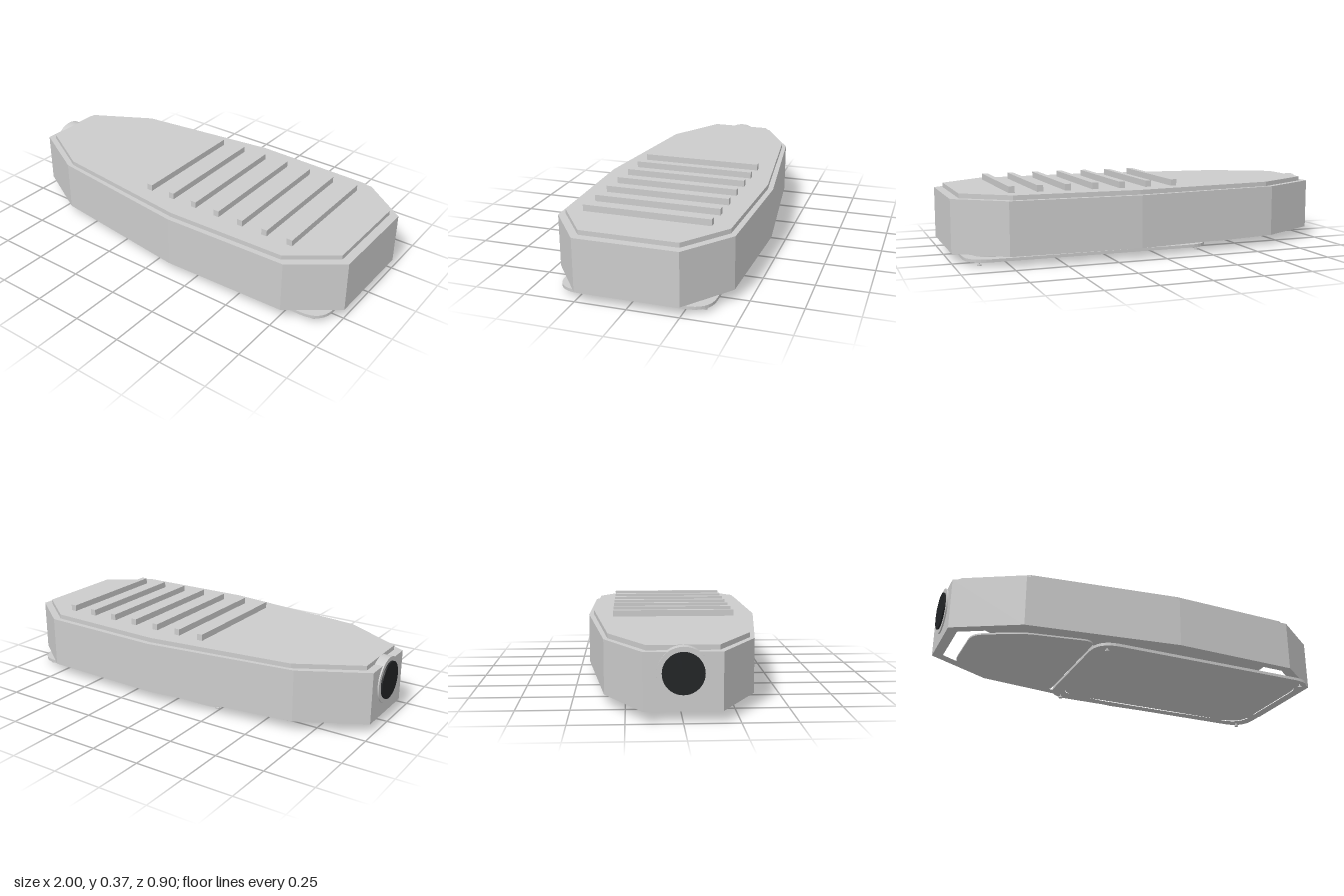
import * as THREE from 'three';

const grey = new THREE.MeshStandardMaterial({ color: 0xcccccc, flatShading: true });
const smooth = new THREE.MeshStandardMaterial({ color: 0xcccccc });
const dark = new THREE.MeshStandardMaterial({ color: 0x222426 });

// Closed outline mirrored across z = 0 from one side's [x, z] points
function mirrored(points) {
  const other = points.map(([x, z]) => [x, -z]).reverse();
  return [...points, ...other].map(([x, z]) => new THREE.Vector2(x, z));
}

// Polygon with every corner rounded by distance r
function rounded(points, r) {
  const shape = new THREE.Shape();
  points.forEach((p, i) => {
    const before = points[(i + points.length - 1) % points.length];
    const after = points[(i + 1) % points.length];
    const a = p.clone().add(before.clone().sub(p).setLength(r));
    const b = p.clone().add(after.clone().sub(p).setLength(r));
    if (i === 0) shape.moveTo(a.x, a.y);
    else shape.lineTo(a.x, a.y);
    shape.quadraticCurveTo(p.x, p.y, b.x, b.y);
  });
  shape.closePath();
  return shape;
}

export function createModel() {
  const model = new THREE.Group();

  function add(name, geometry, material, x = 0, y = 0, z = 0) {
    const mesh = new THREE.Mesh(geometry, material);
    mesh.name = name;
    mesh.position.set(x, y, z);
    model.add(mesh);
    return mesh;
  }

  // Horizontal slab of the given plan, between two heights
  function slab(name, shape, bottom, top, hole) {
    if (hole) shape.holes.push(hole);
    const geometry = new THREE.ExtrudeGeometry(shape, {
      depth: top - bottom, bevelEnabled: false, curveSegments: 8,
    });
    geometry.rotateX(Math.PI / 2);
    return add(name, geometry, grey, 0, top);
  }

  // Housing walls, open underneath
  const outer = mirrored([[-0.985, 0.173], [-0.665, 0.348], [0.11, 0.448], [0.76, 0.43], [1, 0.25]]);
  const inner = mirrored([[-0.935, 0.145], [-0.645, 0.305], [0.11, 0.402], [0.735, 0.385], [0.95, 0.225]]);
  slab('housing', new THREE.Shape(outer), 0.05, 0.31, new THREE.Path(inner));

  // Stepped lid closing the top
  const lid = mirrored([[-0.945, 0.16], [-0.64, 0.33], [0.11, 0.421], [0.735, 0.403], [0.957, 0.237]]);
  slab('lid', new THREE.Shape(lid), 0.309, 0.333);

  // Cooling fins
  for (let i = 0; i < 7; i++) {
    add('coolingFin', new THREE.BoxGeometry(0.03, 0.034, 0.626), grey, -0.114 + i * 0.139, 0.348, 0);
  }

  // Pole socket with dark opening
  const collar = add('poleSocket', new THREE.CylinderGeometry(0.115, 0.115, 0.07, 40), smooth, -0.957, 0.218, 0);
  collar.rotation.z = Math.PI / 2;
  const opening = add('socketOpening', new THREE.CylinderGeometry(0.093, 0.093, 0.06, 40), dark, -0.97, 0.218, 0);
  opening.rotation.z = Math.PI / 2;

  // Lamp door frame and its slightly recessed lens
  const doorPlan = mirrored([[-0.3, 0.37], [0.95, 0.37]]);
  const lensPlan = mirrored([[-0.245, 0.32], [0.905, 0.32]]);
  slab('lampDoorFrame', rounded(doorPlan, 0.12), 0.019, 0.034, rounded(lensPlan, 0.12));
  slab('lens', rounded(lensPlan, 0.12), 0.023, 0.04);

  // Gear compartment cover
  const cover = mirrored([[-0.87, 0.17], [-0.65, 0.285], [-0.3, 0.34]]);
  slab('gearCover', rounded(cover, 0.06), 0.035, 0.043);
  add('coverLatch', new THREE.BoxGeometry(0.12, 0.012, 0.1), grey, -0.55, 0.047, 0);

  // Hinges and door screws on both sides
  for (const side of [-1, 1]) {
    add('hinge', new THREE.BoxGeometry(0.06, 0.02, 0.022), grey, -0.27, 0.044, side * 0.252);
    for (const x of [-0.235, 0.885]) {
      add('screwHead', new THREE.CylinderGeometry(0.011, 0.011, 0.007, 16), smooth, x, 0.0035, side * 0.33);
      add('screwShank', new THREE.CylinderGeometry(0.003, 0.003, 0.016, 8), smooth, x, 0.013, side * 0.33);
    }
  }

  return model;
}
